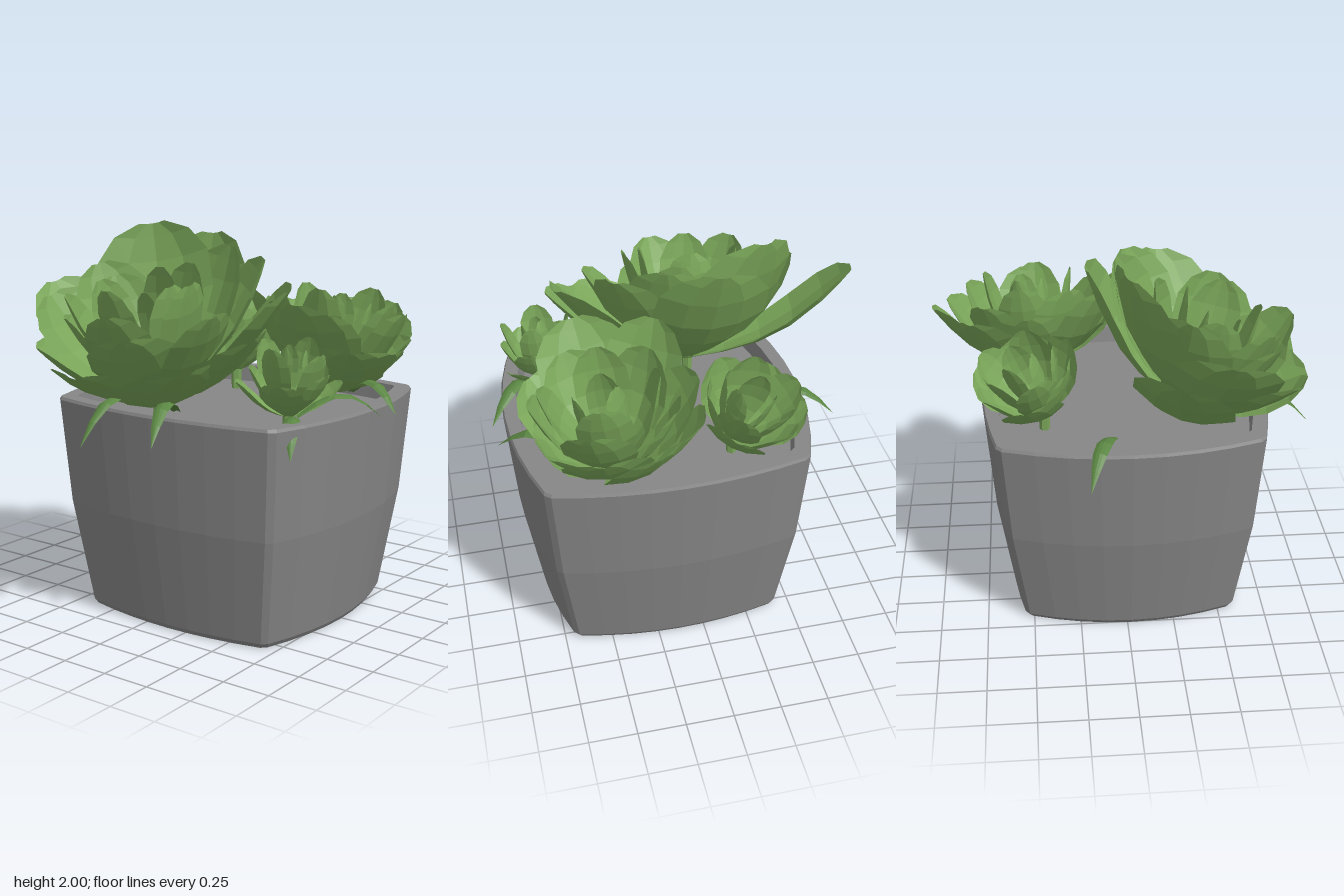
import * as THREE from 'three';

const material = (name, color, extra) => {
  const m = new THREE.MeshStandardMaterial({ color, flatShading: true, ...extra });
  m.name = name;
  return m;
};
const green = material('leaf green', 0x7aa659, { side: THREE.DoubleSide });
const darkGreen = material('blade green', 0x5a8542, { side: THREE.DoubleSide });
const grey = material('pot grey', 0x868686);

const V = (a) => new THREE.Vector3(...a);
const UP = [0, 1, 0];

// Grid of rows x cols points -> geometry (rows optionally closed into loops)
function skin(rows, closed) {
  const n = rows[0].length, pos = [], idx = [];
  rows.forEach((r) => r.forEach((p) => pos.push(p.x, p.y, p.z)));
  for (let i = 0; i < rows.length - 1; i++) {
    for (let j = 0; j < (closed ? n : n - 1); j++) {
      const k = (j + 1) % n, a = i * n + j, b = i * n + k;
      idx.push(a, a + n, b, b, a + n, b + n);
    }
  }
  const g = new THREE.BufferGeometry();
  g.setAttribute('position', new THREE.Float32BufferAttribute(pos, 3));
  g.setIndex(idx);
  g.computeVertexNormals();
  return g;
}

function mesh(geo, mat, name) {
  const m = new THREE.Mesh(geo, mat);
  m.name = name;
  return m;
}

// Square pot outline with bulging sides and tight corners
function outline(scale, y) {
  const pts = [], n = 8, cx = 0.665, cz = 0.675, bx = 0.125, bz = 0.085;
  for (let s = 0; s < 4; s++) {
    for (let i = 0; i <= n; i++) {
      const t = (-1 + (2 * i) / n) * 0.965, b = 1 - t * t;
      const [x, z] = [
        [cx + bx * b, cz * t], [-cx * t, cz + bz * b],
        [-cx - bx * b, -cz * t], [cx * t, -cz - bz * b],
      ][s];
      pts.push(new THREE.Vector3(0.14 + x * scale, y, 0.02 + z * scale));
    }
  }
  return pts;
}
const loft = (profile) => skin(profile.map(([s, y]) => outline(s, y)), true);

// Rounded, cupped blade from base to tip; bow > 0 sags, bow < 0 arches
const PETAL = [[0, 0.16], [0.2, 0.5], [0.4, 0.8], [0.6, 1], [0.8, 0.95], [0.93, 0.65], [1, 0.22]];
const BLADE = [[0, 0.5], [0.2, 0.8], [0.4, 1], [0.6, 0.9], [0.8, 0.55], [1, 0.03]];
function leaf(base, tip, hw, axis, bow = 0.1, cup = 0.28, shape = PETAL) {
  const along = tip.clone().sub(base), len = along.length(), dir = along.clone().normalize();
  const side = dir.clone().cross(axis).normalize(), nrm = side.clone().cross(dir);
  return skin(shape.map(([u, w]) => [-1, -0.5, 0, 0.5, 1].map((v) => base.clone()
    .addScaledVector(along, u)
    .addScaledVector(side, hw * w * v)
    .addScaledVector(nrm, cup * hw * w * v * v - bow * len * Math.sin(Math.PI * u)))));
}

// Rosette: listed outer tips [x, y, z, halfWidth], then rings [count, tilt, length, halfWidth]
function rosette(name, basePt, axisDir, tips, rings) {
  const g = new THREE.Group(), base = V(basePt), axis = V(axisDir).normalize();
  g.name = name;
  tips.forEach(([x, y, z, w]) => g.add(mesh(leaf(base, V([x, y, z]), w, axis), green, 'outerPetal')));
  const turn = new THREE.Quaternion().setFromUnitVectors(V(UP), axis);
  rings.forEach(([n, deg, len, w], r) => {
    for (let i = 0; i < n; i++) {
      const a = ((i + r * 0.45) / n) * Math.PI * 2 + r;
      const t = THREE.MathUtils.degToRad(deg + (i % 2 ? 3 : -3));
      const d = V([Math.sin(t) * Math.cos(a), Math.cos(t), Math.sin(t) * Math.sin(a)]).applyQuaternion(turn);
      g.add(mesh(leaf(base, base.clone().addScaledVector(d, len), w, axis), green, 'innerPetal'));
    }
  });
  // Short stem down into the soil
  const stem = mesh(new THREE.CylinderGeometry(0.03, 0.025, basePt[1] - 0.98, 6), green, 'stem');
  stem.position.set(basePt[0], (basePt[1] + 1.02) / 2, basePt[2]);
  g.add(stem);
  return g;
}

export function createModel() {
  const model = new THREE.Group();
  model.name = 'pottedSucculents';

  // Pot shell with rim, and the soil surface inside
  model.add(mesh(loft([[0, 0], [0.815, 0], [0.835, 0.025], [0.945, 0.57], [1, 1.115],
    [0.99, 1.13], [0.9, 1.13], [0.88, 1.03]]), grey, 'pot'));
  model.add(mesh(loft([[0.885, 1.04], [0, 1.04]]), grey, 'soil'));

  model.add(rosette('largeRosette', [-0.13, 1.11, 0.36], [-0.05, 0.93, 0.22], [
    [-0.99, 1.65, 0.2, 0.26], [-0.45, 1.98, 0, 0.32], [-0.18, 1.93, -0.19, 0.3],
    [0.06, 1.88, -0.02, 0.26], [0.32, 1.83, 0.05, 0.25], [0.6, 1.71, 0.24, 0.3],
    [0.61, 1.5, 0.58, 0.26], [0.42, 1.36, 0.85, 0.27], [-0.16, 1.3, 0.96, 0.32],
    [-0.53, 1.4, 0.84, 0.27], [-0.74, 1.62, 0.5, 0.3],
    [-0.57, 1.78, 0.3, 0.22], [-0.42, 1.55, 0.75, 0.2], [0.05, 1.48, 0.84, 0.24],
    [0.4, 1.6, 0.6, 0.2],
  ], [[5, 33, 0.72, 0.18], [4, 20, 0.68, 0.14], [2, 9, 0.56, 0.09]]));

  model.add(rosette('mediumRosette', [0.42, 1.08, -0.44], [0.14, 0.95, -0.06], [
    [0.3, 1.52, -0.98, 0.22], [0.06, 1.53, -0.78, 0.2], [0.01, 1.57, -0.48, 0.22],
    [0.14, 1.67, -0.06, 0.22], [0.53, 1.62, 0.11, 0.25], [0.78, 1.38, -0.02, 0.22],
    [0.82, 1.33, -0.4, 0.24], [0.78, 1.37, -0.68, 0.22], [0.56, 1.47, -0.92, 0.22],
  ], [[5, 38, 0.62, 0.18], [4, 26, 0.62, 0.14], [3, 12, 0.54, 0.09]]));

  model.add(rosette('smallRosette', [-0.18, 1.13, -0.41], [-0.28, 0.93, -0.33], [],
    [[6, 41, 0.42, 0.16], [5, 28, 0.46, 0.12], [3, 14, 0.42, 0.08]]));

  model.add(rosette('tinyRosette', [0.66, 1.11, 0.34], [0.1, 0.94, 0.1], [
    [0.6, 1.32, 0.13, 0.08], [0.86, 1.28, 0.17, 0.08], [0.5, 1.3, 0.56, 0.1],
  ], [[5, 42, 0.32, 0.11], [4, 24, 0.4, 0.09], [3, 9, 0.36, 0.05]]));

  // Slender blades arching over the rim
  [
    [[-0.4, 1.1, -0.06], [-0.8, 1.02, -0.2]], [[-0.12, 1.1, 0.45], [-0.1, 0.98, 1]],
    [[0.1, 1.1, 0.5], [0.29, 1.02, 0.94]], [[0.7, 1.12, 0.36], [0.86, 0.98, 0.63]],
    [[0.7, 1.12, 0.33], [0.99, 1.09, 0]], [[0.6, 1.12, -0.35], [0.98, 1.08, -0.15]],
  ].forEach(([a, b]) => model.add(mesh(leaf(V(a), V(b), 0.04, V(UP), -0.27, -0.4, BLADE), darkGreen, 'rimBlade')));

  return model;
}
